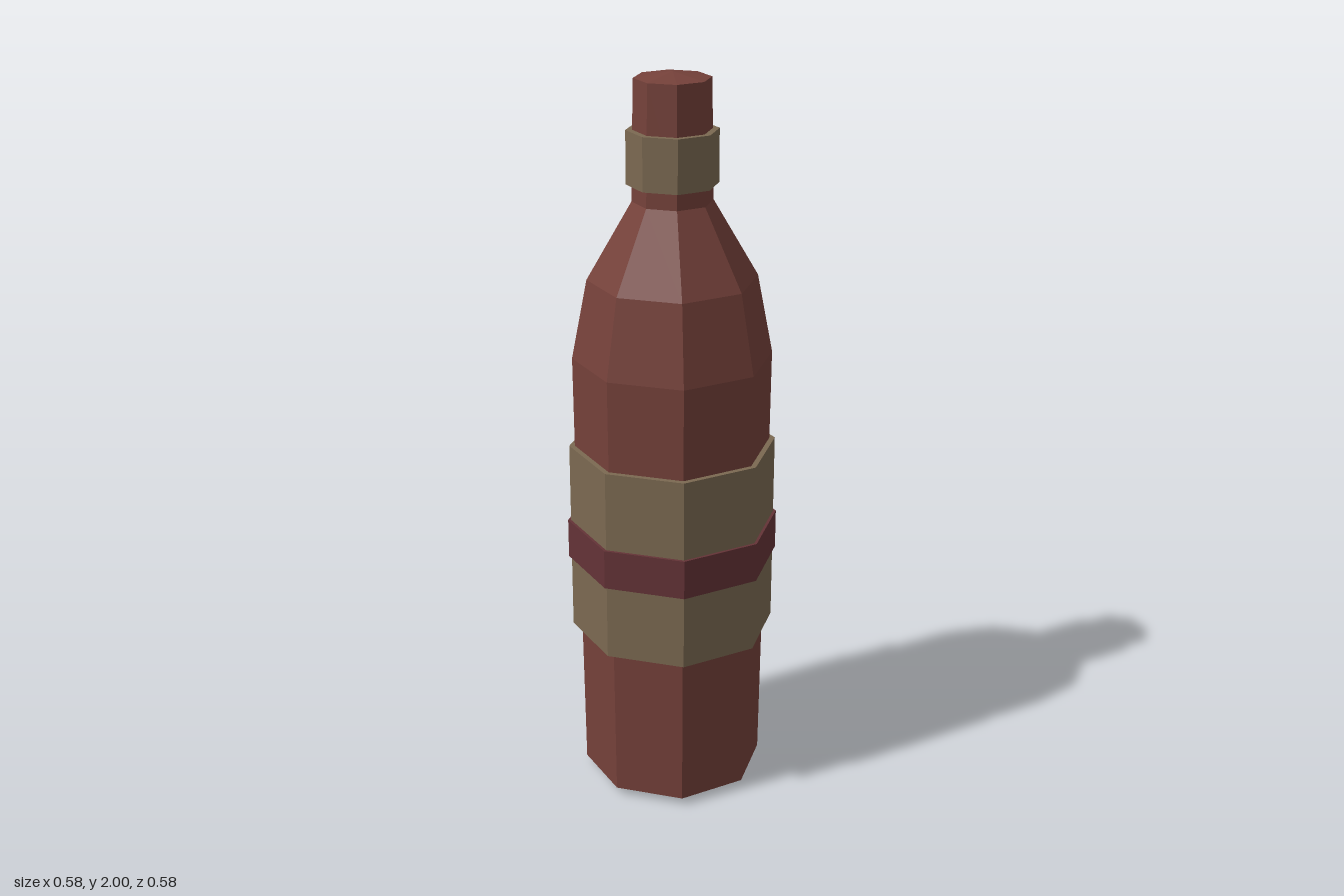
import * as THREE from 'three';

const SIDES = 8;

// Faceted lathe from [radius, height] pairs listed bottom to top
function turned(name, profile, color) {
  const points = profile.map(([r, y]) => new THREE.Vector2(r, y));
  const material = new THREE.MeshStandardMaterial({ color, flatShading: true });
  const mesh = new THREE.Mesh(new THREE.LatheGeometry(points, SIDES), material);
  mesh.name = name;
  return mesh;
}

// Closed ring wrapped around the bottle
function band(name, inner, outer, y0, y1, color) {
  return turned(name, [[inner, y0], [outer, y0], [outer, y1], [inner, y1]], color);
}

export function createModel() {
  const brown = 0x75413a, olive = 0x7b6951, red = 0x643337;
  const group = new THREE.Group();
  group.name = 'bottle';

  // Bottle with slightly pointed base and top
  group.add(turned('bottleBody', [
    [0, 0], [0.25, 0.022], [0.255, 0.46], [0.265, 1.0], [0.267, 1.25],
    [0.225, 1.465], [0.106, 1.67], [0.105, 1.72], [0.1, 1.985], [0, 2],
  ], brown));

  // Label, its stripe and the neck collar
  group.add(band('label', 0.24, 0.28, 0.46, 1.0, olive));
  group.add(band('labelStripe', 0.26, 0.288, 0.67, 0.78, red));
  group.add(band('neckCollar', 0.09, 0.12, 1.715, 1.855, olive));

  return group;
}
